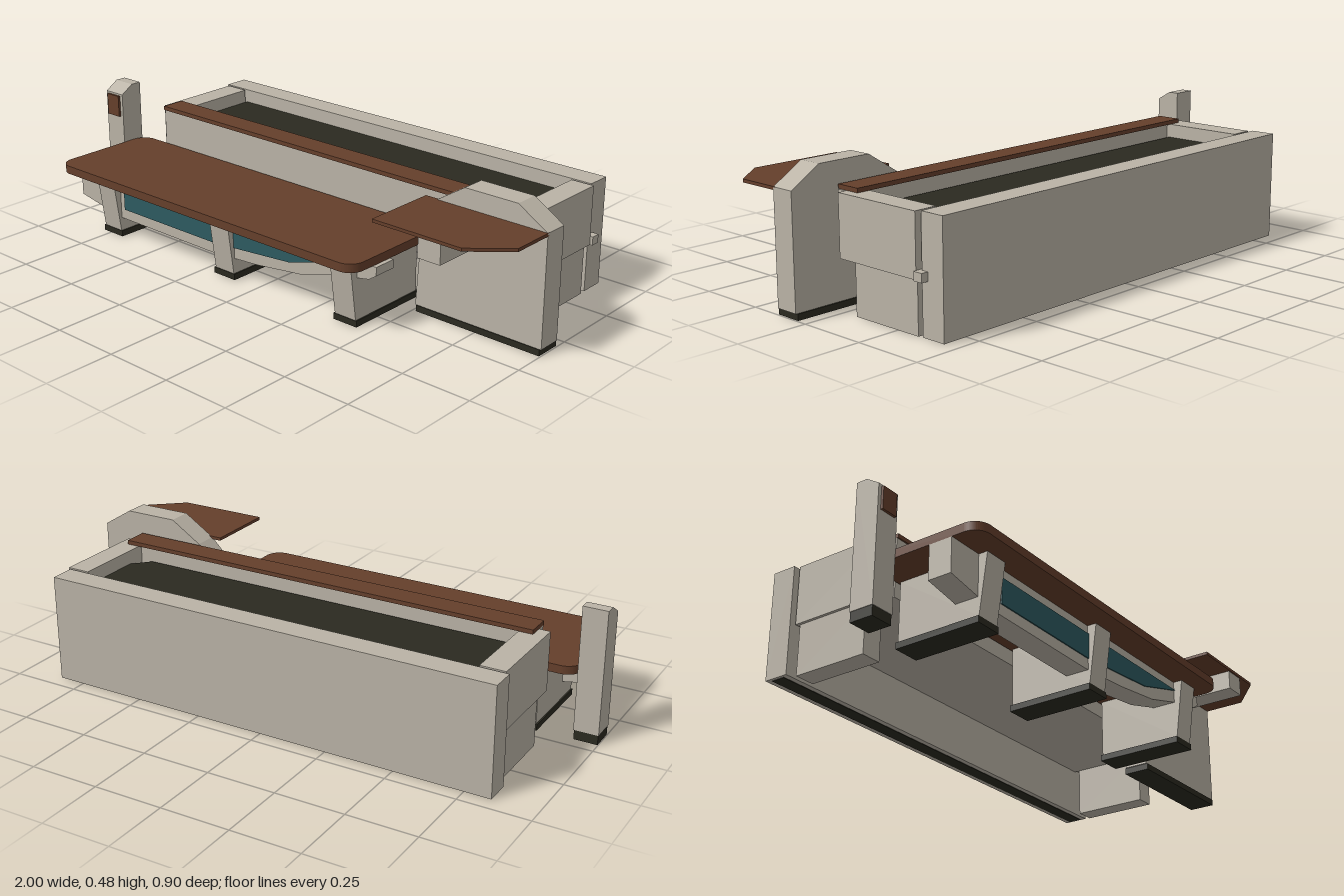
import * as THREE from 'three';

const mat = (name, color) => {
  const m = new THREE.MeshStandardMaterial({ color });
  m.name = name;
  return m;
};

export function createModel() {
  const group = new THREE.Group();
  const cream = mat('cream panel', 0xbab3a6);
  const wood = mat('brown wood', 0x653f2b);
  const dark = mat('dark base', 0x2b2a20);
  const teal = mat('teal panel', 0x2d5a60);

  const add = (name, geo, material) => {
    const mesh = new THREE.Mesh(geo, material);
    mesh.name = name;
    group.add(mesh);
    return mesh;
  };
  // Box given by its limits on each axis
  const box = (name, m, x0, x1, y0, y1, z0, z1) => {
    const mesh = add(name, new THREE.BoxGeometry(x1 - x0, y1 - y0, z1 - z0), m);
    mesh.position.set((x0 + x1) / 2, (y0 + y1) / 2, (z0 + z1) / 2);
    return mesh;
  };
  const outline = (pts) => new THREE.Shape(pts.map(([a, b]) => new THREE.Vector2(a, b)));
  const solid = (shape, depth) =>
    new THREE.ExtrudeGeometry(shape, { depth, bevelEnabled: false, curveSegments: 8 });
  // Outline in x, y extruded from z0 to z1
  const frontSlab = (name, m, pts, z0, z1) =>
    add(name, solid(outline(pts), z1 - z0).translate(0, 0, z0), m);
  // Outline in x, z extruded from y0 to y1
  const flatSlab = (name, m, shape, y0, y1) =>
    add(name, solid(shape, y1 - y0).rotateX(Math.PI / 2).translate(0, y1, 0), m);
  // Outline in z, y extruded from x0 to x1
  const sideSlab = (name, m, pts, x0, x1) =>
    add(name, solid(outline(pts.map(([z, y]) => [-z, y])), x1 - x0).rotateY(Math.PI / 2).translate(x0, 0, 0), m);

  // Tall back wall with a dark strip under it
  box('backWall', cream, -0.845, 0.845, 0.002, 0.39, -0.45, -0.36);
  box('backWallBase', dark, -0.835, 0.835, 0, 0.004, -0.43, -0.38);

  // Planter trough: front panel, ends, floor and fill
  box('troughFront', cream, -0.79, 0.83, 0.18, 0.39, -0.04, 0.03);
  box('troughLeftEnd', cream, 0.775, 0.86, 0.18, 0.39, -0.35, -0.005);
  box('troughRightEnd', cream, -0.83, -0.74, 0.18, 0.39, -0.35, -0.005);
  box('troughFloor', cream, -0.74, 0.775, 0.18, 0.2, -0.36, -0.04);
  flatSlab('troughFill', dark, outline([
    [-0.74, -0.36], [0.775, -0.36], [0.775, -0.11], [0.72, -0.05], [-0.74, -0.05],
  ]), 0.33, 0.34);
  box('troughLedge', wood, -0.79, 0.825, 0.39, 0.405, -0.055, 0.035);
  box('leftPlinth', cream, 0.775, 0.845, 0, 0.18, -0.34, -0.06);
  box('rightPlinth', cream, -0.82, -0.745, 0, 0.18, -0.34, -0.06);
  box('bracket', cream, 0.83, 0.87, 0.18, 0.21, -0.385, -0.35);

  // Desk top with rounded corners
  const x0 = -0.91, x1 = 0.505, z0 = 0.035, z1 = 0.45, r = 0.055;
  const desk = new THREE.Shape();
  desk.absarc(x1 - r, z1 - r, r, 0, Math.PI / 2);
  desk.absarc(x0 + r, z1 - r, r, Math.PI / 2, Math.PI);
  desk.absarc(x0 + r, z0 + r, r, Math.PI, Math.PI * 1.5);
  desk.absarc(x1 - r, z0 + r, r, Math.PI * 1.5, Math.PI * 2);
  flatSlab('deskTop', wood, desk, 0.23, 0.26);

  // Desk legs with sloping fronts and dark feet
  for (const x of [-0.737, -0.153, 0.397]) {
    sideSlab('deskLeg', cream, [[0.045, 0.022], [0.355, 0.022], [0.383, 0.23], [0.045, 0.23]], x - 0.044, x + 0.044);
    box('deskFoot', dark, x - 0.049, x + 0.049, 0, 0.022, 0.04, 0.357);
  }

  // Curved apron under the desk and its teal inset
  frontSlab('apron', cream, [
    [-0.91, 0.23], [-0.91, 0.11], [-0.7, 0.072], [-0.22, 0.07], [0, 0.085], [0.2, 0.11],
    [0.36, 0.155], [0.49, 0.18], [0.52, 0.2], [0.52, 0.23],
  ], 0.265, 0.35);
  frontSlab('apronInset', teal, [
    [-0.67, 0.2], [-0.67, 0.11], [-0.2, 0.11], [0.15, 0.14], [0.36, 0.2],
  ], 0.349, 0.354);

  // Tower at the desk's end with a shelf on a bracket box
  frontSlab('tower', cream, [
    [0.508, 0.022], [1, 0.022], [1, 0.41], [0.89, 0.478], [0.69, 0.478], [0.575, 0.405], [0.53, 0.36],
  ], 0.045, 0.132);
  box('towerFoot', dark, 0.513, 0.995, 0, 0.022, 0.04, 0.135);
  flatSlab('towerShelf', wood, outline([
    [0.535, 0.125], [1, 0.125], [1, 0.285], [0.875, 0.393], [0.535, 0.393],
  ]), 0.4, 0.411);
  box('shelfBox', cream, 0.71, 0.795, 0.33, 0.4, 0.132, 0.388);

  // Free-standing post with a sloping top and a small panel
  sideSlab('post', cream, [[0.045, 0.035], [0.135, 0.035], [0.135, 0.447], [0.085, 0.478], [0.045, 0.478]], -1, -0.912);
  box('postFoot', dark, -0.998, -0.914, 0, 0.035, 0.047, 0.133);
  box('postPanel', wood, -0.987, -0.925, 0.36, 0.44, 0.135, 0.144);

  return group;
}
